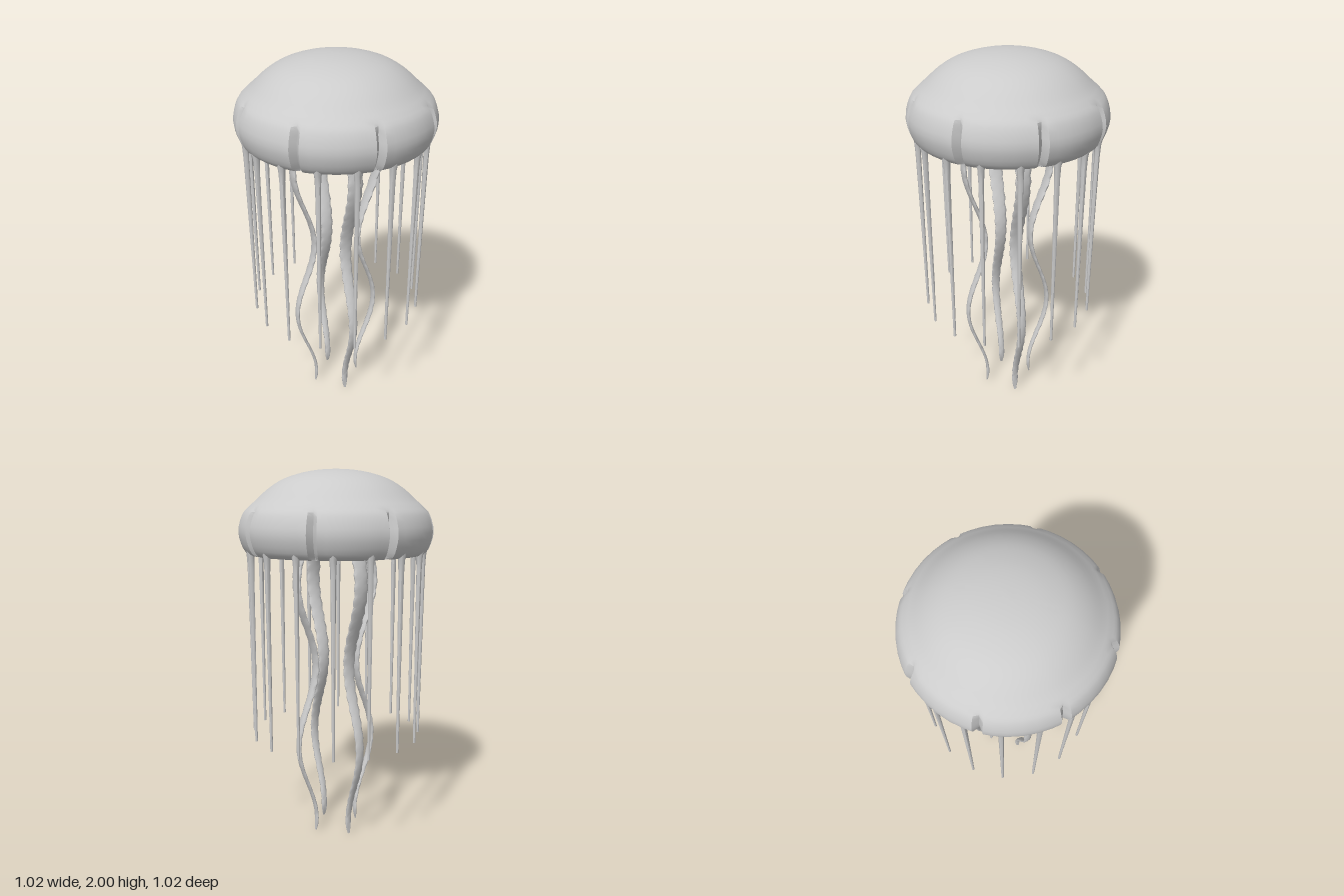
import * as THREE from 'three';
import { toCreasedNormals } from 'three/addons/utils/BufferGeometryUtils.js';

const material = new THREE.MeshStandardMaterial({ color: 0xcccccc, side: THREE.DoubleSide });
const { lerp, smoothstep, degToRad } = THREE.MathUtils;

// Moves every vertex of a geometry by a rule, then smooths it with creases.
function reshape(geometry, rule, crease) {
  const pos = geometry.attributes.position;
  const v = new THREE.Vector3();
  for (let i = 0; i < pos.count; i++) {
    v.fromBufferAttribute(pos, i);
    rule(v, i);
    pos.setXYZ(i, v.x, v.y, v.z);
  }
  return toCreasedNormals(geometry, crease);
}

// Hollow bell: inner wall, rolled rim, skirt and cap in one profile, with eight notches.
function bellGeometry() {
  const knots = [
    [0, 1.9], [0.2, 1.87], [0.35, 1.78], [0.42, 1.66], [0.435, 1.585], [0.455, 1.568],
    [0.488, 1.6], [0.51, 1.685], [0.488, 1.77], [0.452, 1.812], [0.42, 1.84],
    [0.35, 1.902], [0.27, 1.95], [0.17, 1.982], [0.08, 1.996], [0, 2],
  ].map(([r, y]) => new THREE.Vector2(r, y));
  const profile = new THREE.SplineCurve(knots).getPoints(45);
  profile[0].x = profile[45].x = 0;
  const steps = [0, 2.8, 8, 15, 22.5, 30, 37, 42.2]; // degrees within one lobe
  const n = steps.length;
  const rows = profile.length;
  return reshape(new THREE.LatheGeometry(profile, 8 * n), (v, i) => {
    const column = Math.floor(i / rows);
    const p = profile[i % rows];
    const angle = degToRad(45 * Math.floor(column / n) + steps[column % n]);
    let r = p.x;
    if (column % n === 0 && r > 0.44) {
      r = Math.max(0.44, r - 0.034 * (1 - smoothstep(p.y, 1.74, 1.82)));
    }
    v.set(r * Math.sin(angle), p.y, r * Math.cos(angle));
  }, 0.7);
}

// Slim tapering tentacle with a flared root.
function tentacleGeometry() {
  const profile = [
    [0, 0.572], [0.007, 0.573], [0.009, 0.9], [0.012, 1.3], [0.014, 1.5],
    [0.017, 1.56], [0.024, 1.595], [0.026, 1.62], [0, 1.64],
  ].map(([r, y]) => new THREE.Vector2(r, y));
  return toCreasedNormals(new THREE.LatheGeometry(profile, 8), 1);
}

// Flat ribbon arm that waves in and out and has scalloped edges.
function armGeometry() {
  const height = 1.87;
  return reshape(new THREE.CylinderGeometry(1, 1, height, 10, 100), (v) => {
    const y = v.y + height / 2;
    const t = y / height;
    const tip = lerp(0.4, 1, smoothstep(y, 0, 0.05));
    const scallop = 1 + 0.09 * Math.sin(y * 95);
    const wave = 0.185 + 0.055 * Math.cos((2 * Math.PI * (y - 0.52)) / 0.9);
    const halfWidth = lerp(0.016, 0.041, smoothstep(t, -0.1, 0.85)) * tip * scallop;
    const halfDepth = lerp(0.008, 0.014, t) * tip;
    v.set(v.x * halfWidth, y, wave + v.z * halfDepth);
  }, 1.2);
}

// Repeats one geometry evenly around the vertical axis.
function ring(name, geometry, count, radius, offset) {
  const group = new THREE.Group();
  group.name = name + 's';
  for (let i = 0; i < count; i++) {
    const angle = ((i + offset) / count) * Math.PI * 2;
    const mesh = new THREE.Mesh(geometry, material);
    mesh.name = name;
    mesh.position.set(radius * Math.sin(angle), 0, radius * Math.cos(angle));
    mesh.rotation.y = angle;
    group.add(mesh);
  }
  return group;
}

export function createModel() {
  const model = new THREE.Group();
  model.name = 'jellyfish';
  const bell = new THREE.Mesh(bellGeometry(), material);
  bell.name = 'bell';
  model.add(bell);
  model.add(ring('tentacle', tentacleGeometry(), 16, 0.46, 0.5));
  model.add(ring('oralArm', armGeometry(), 4, 0, 0.5));
  return model;
}
